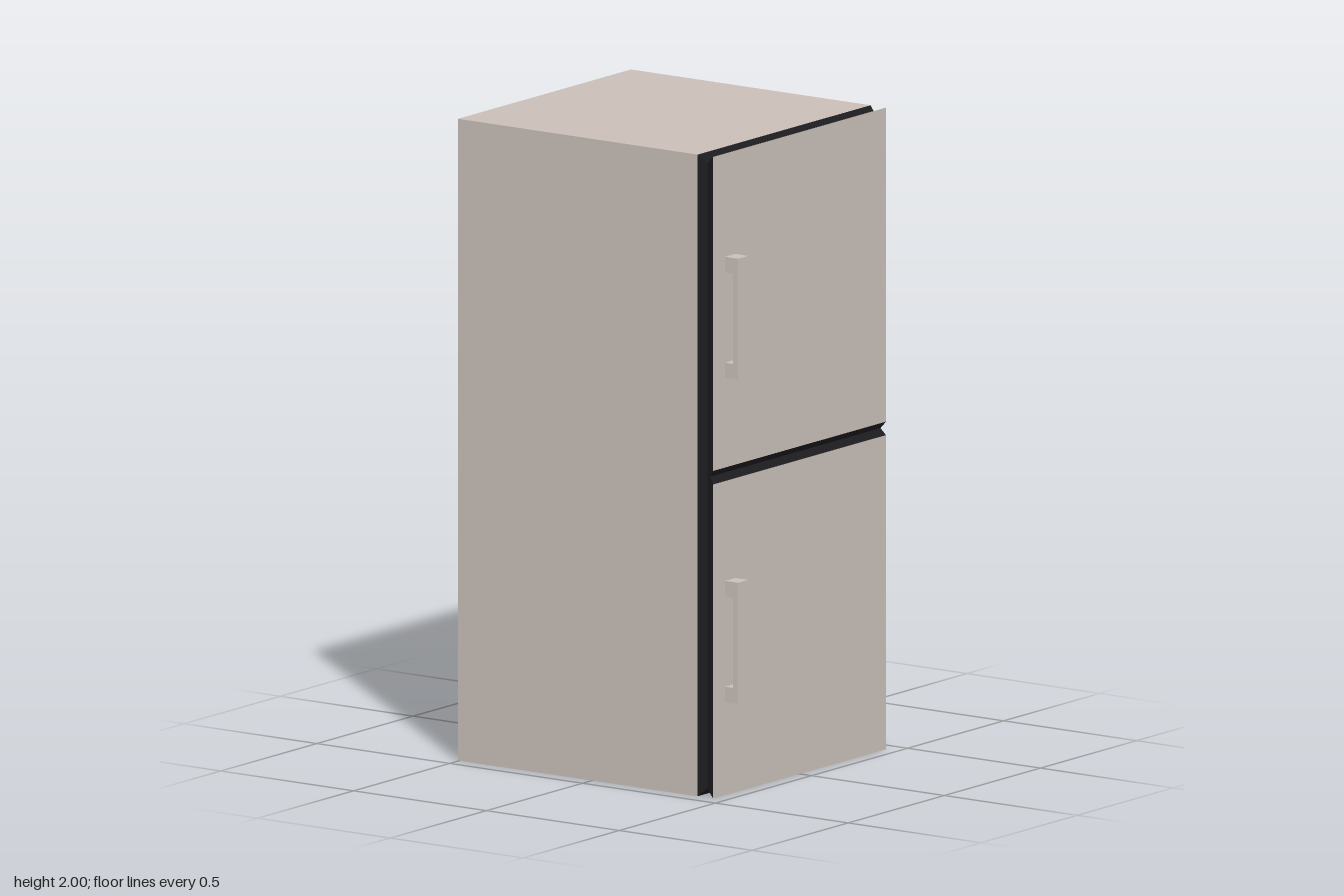
import * as THREE from 'three';

const shell = new THREE.MeshStandardMaterial({ color: 0xc9beb7 });
shell.name = 'warm grey shell';
const rubber = new THREE.MeshStandardMaterial({ color: 0x1c1c1f });
rubber.name = 'black rubber';

// Flat-faced loft along z through rectangles [z, halfWidth, yBottom, yTop];
// the sides use material 0 and the front cap uses material 1
function loftRects(sections) {
  const rings = sections.map(([z, w, y0, y1]) => [[-w, y0, z], [w, y0, z], [w, y1, z], [-w, y1, z]]);
  const pos = [];
  const quad = (a, b, c, d) => pos.push(...a, ...b, ...c, ...a, ...c, ...d);
  for (let i = 0; i < rings.length - 1; i++) {
    for (let k = 0; k < 4; k++) {
      const n = (k + 1) % 4;
      quad(rings[i][k], rings[i][n], rings[i + 1][n], rings[i + 1][k]);
    }
  }
  const sideCount = pos.length / 3;
  quad(...rings[rings.length - 1]);
  const geo = new THREE.BufferGeometry();
  geo.setAttribute('position', new THREE.Float32BufferAttribute(pos, 3));
  geo.addGroup(0, sideCount, 0);
  geo.addGroup(sideCount, 6, 1);
  geo.computeVertexNormals();
  return geo;
}

// Square bracket handle, drawn in (z, y) and extruded across x
function handleGeometry(height) {
  const depth = 0.05, width = 0.053, bar = 0.02, foot = 0.048;
  const s = new THREE.Shape();
  s.moveTo(0, 0);
  s.lineTo(depth, 0);
  s.lineTo(depth, height);
  s.lineTo(0, height);
  s.lineTo(0, height - foot);
  s.lineTo(depth - bar, height - foot);
  s.lineTo(depth - bar, foot);
  s.lineTo(0, foot);
  s.closePath();
  const geo = new THREE.ExtrudeGeometry(s, { depth: width, bevelEnabled: false });
  geo.rotateY(-Math.PI / 2); // shape x becomes z, extrusion runs to -x
  return geo;
}

export function createModel() {
  const model = new THREE.Group();
  model.name = 'refrigerator';

  // Cabinet
  const cabinet = new THREE.Mesh(new THREE.BoxGeometry(0.9, 2, 0.902), shell);
  cabinet.name = 'cabinet';
  cabinet.position.set(0, 1, -0.054);
  model.add(cabinet);

  // Doors: black grooved edge with a shell-coloured front, meeting at mid height
  const upper = [
    [0.397, 0.45, 1, 2],
    [0.426, 0.438, 1, 1.974],
    [0.439, 0.4434, 1, 1.9857],
    [0.455, 0.45, 1.021, 2],
  ];
  const lower = upper.map(([z, w, y0, y1]) => [z, w, 2 - y1, 2 - y0]);

  for (const [name, sections, handleY] of [['upperDoor', upper, 1.3], ['lowerDoor', lower, 0.29]]) {
    const door = new THREE.Group();
    door.name = name;
    const panel = new THREE.Mesh(loftRects(sections), [rubber, shell]);
    panel.name = name + 'Panel';
    const handle = new THREE.Mesh(handleGeometry(0.378), shell);
    handle.name = name + 'Handle';
    handle.position.set(-0.335, handleY, 0.455);
    door.add(panel, handle);
    model.add(door);
  }

  return model;
}
